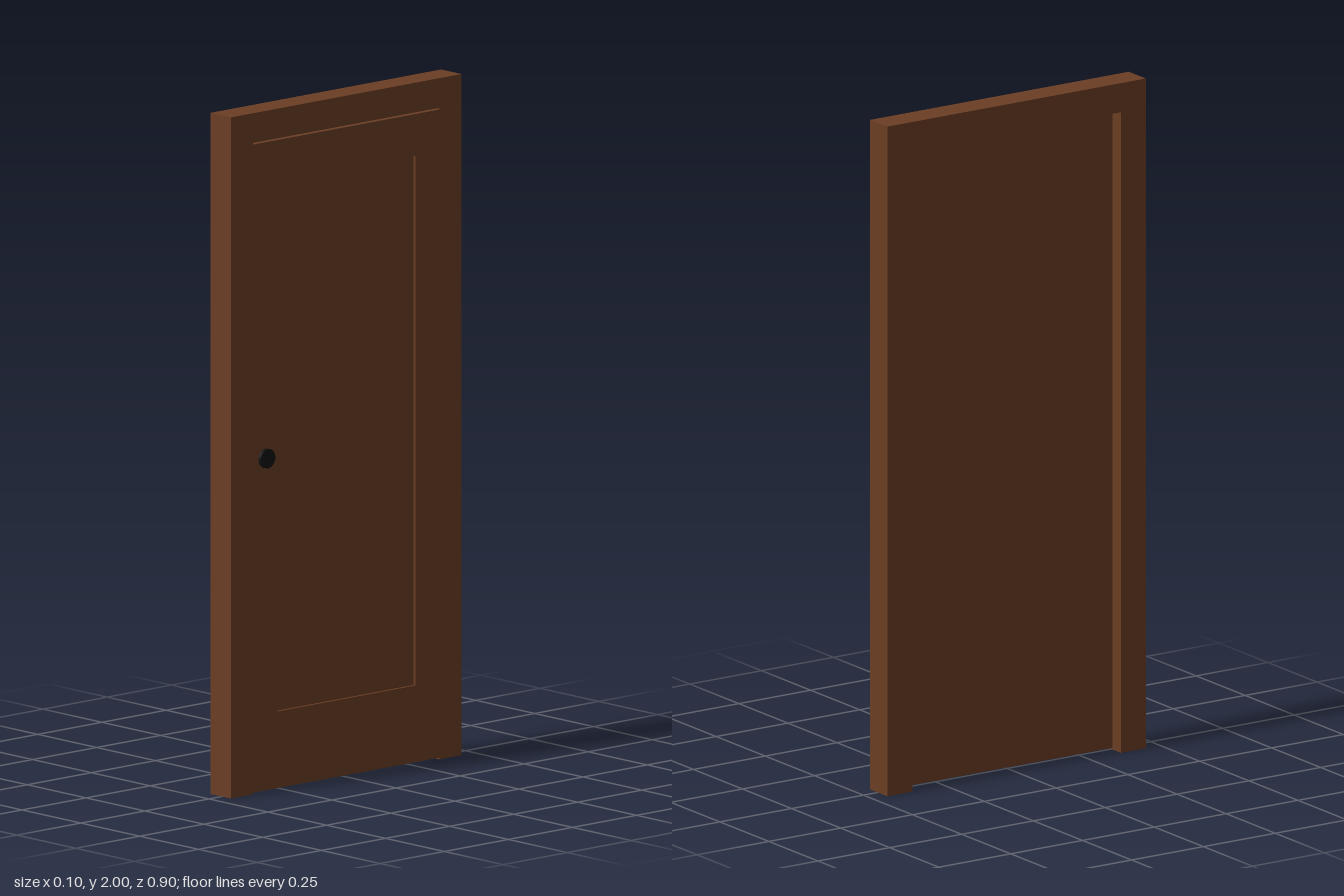
import * as THREE from 'three';

const HALF = 0.363, HEIGHT = 1.913; // frame opening
const BACK = -0.0485, FACE = 0.0385; // frame depth along x

export function createModel() {
  const wood = new THREE.MeshStandardMaterial({ color: 0x6b3d24 });
  wood.name = 'brown wood';
  const metal = new THREE.MeshStandardMaterial({ color: 0x111111 });
  metal.name = 'black metal';

  const group = new THREE.Group();
  group.name = 'door';
  const add = (name, geometry, material) => {
    const mesh = new THREE.Mesh(geometry, material);
    mesh.name = name;
    group.add(mesh);
    return mesh;
  };
  const outline = (half, y0, y1) => [[-half, y0], [half, y0], [half, y1], [-half, y1]]
    .map(([u, v]) => new THREE.Vector2(u, v));
  // Extrudes an upright outline along x, from x0 to x1
  const slab = (shape, x0, x1) =>
    new THREE.ExtrudeGeometry(shape, { depth: x1 - x0, bevelEnabled: false })
      .rotateY(Math.PI / 2).translate(x0, 0, 0);

  // Frame: two jambs and a head, open at the floor
  const frame = new THREE.Shape([
    [-0.45, 0], [-HALF, 0], [-HALF, HEIGHT], [HALF, HEIGHT],
    [HALF, 0], [0.45, 0], [0.45, 2], [-0.45, 2],
  ].map(([u, v]) => new THREE.Vector2(u, v)));
  add('doorFrame', slab(frame, BACK, FACE), wood);

  // Leaf: plain slab at the back, with rails and stiles around a sunken panel
  const leaf = outline(HALF, 0.005, HEIGHT - 0.005);
  const panelFace = FACE - 0.009;
  add('doorLeaf', slab(new THREE.Shape(leaf), -0.005, panelFace), wood);
  const rails = new THREE.Shape(leaf);
  rails.holes.push(new THREE.Path(outline(0.27, 0.23, 1.785)));
  add('railsAndStiles', slab(rails, panelFace, FACE), wood);

  // Knob: a flat disc on the panelled face
  const knob = new THREE.CylinderGeometry(0.029, 0.029, 0.01, 12).rotateZ(-Math.PI / 2);
  add('knob', knob, metal).position.set(FACE + 0.005, 0.98, 0.314);

  return group;
}
